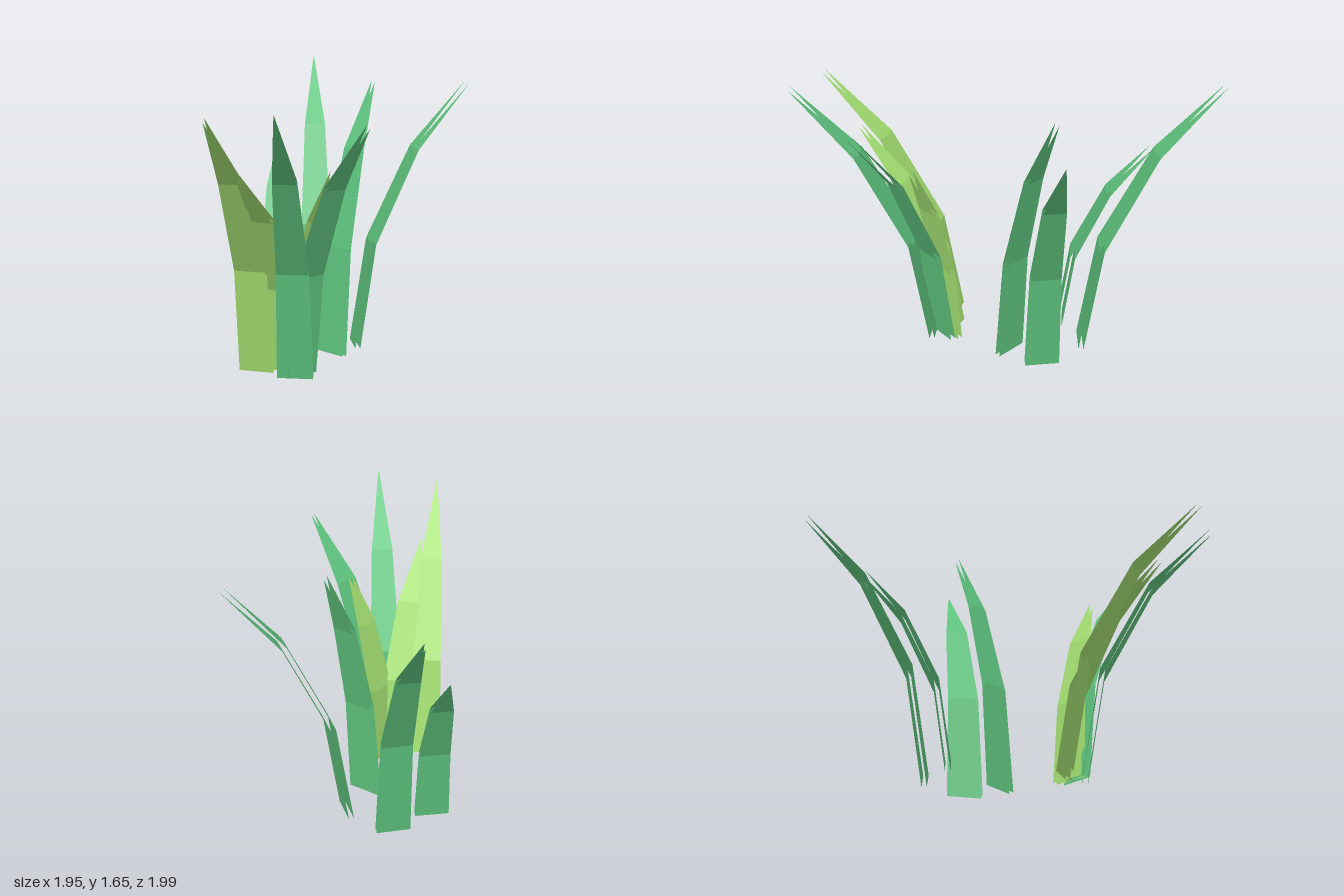
import * as THREE from 'three';

const green = new THREE.MeshStandardMaterial({ color: 0x5fc47e, flatShading: true, side: THREE.DoubleSide });
green.name = 'leaf green';
const lime = new THREE.MeshStandardMaterial({ color: 0xa3de71, flatShading: true, side: THREE.DoubleSide });
lime.name = 'yellow green';

const HALF_WIDTH = 0.1;
const GAP = 0.03; // distance between the inner and outer skin
// shared bend: [share of reach, share of height, share of width]
const PROFILE = [[0, 0, 1], [0.14, 0.4, 0.88], [0.525, 0.755, 0.63], [1, 1, 0]];

// One skin of a blade: two bent quads and a pointed tip
function skin(base, tip, offset) {
  const dx = tip[0] - base[0], dz = tip[2] - base[1];
  const reach = Math.hypot(dx, dz);
  const d = [dx / reach, dz / reach];
  const spine = PROFILE.map(([r, h]) => new THREE.Vector2(r * reach, 0.005 + h * (tip[1] - 0.005)));
  const rows = PROFILE.map(([, , w], i) => {
    // offset along the averaged outward normal of the bend
    const n = new THREE.Vector2();
    for (const k of [i - 1, i]) {
      if (k < 0 || k > 2) continue;
      const s = spine[k + 1].clone().sub(spine[k]).normalize();
      n.add(new THREE.Vector2(s.y, -s.x));
    }
    const p = spine[i].clone().addScaledVector(n.normalize(), offset);
    return [-1, 1].map(side => {
      const e = side * w * HALF_WIDTH;
      return [base[0] + d[0] * p.x - d[1] * e, Math.max(0, p.y), base[1] + d[1] * p.x + d[0] * e];
    });
  });
  const pos = [];
  const tri = (a, b, c) => (offset ? pos.push(...a, ...b, ...c) : pos.push(...a, ...c, ...b));
  for (let i = 0; i < 3; i++) {
    const [a, b] = rows[i], [c, e] = rows[i + 1];
    tri(a, c, b);
    if (i < 2) tri(b, c, e);
  }
  const g = new THREE.BufferGeometry();
  g.setAttribute('position', new THREE.Float32BufferAttribute(pos, 3));
  g.computeVertexNormals();
  return g;
}

export function createModel() {
  const model = new THREE.Group();
  model.name = 'grassTuft';

  // name, material, base centre [x, z], tip [x, y, z]
  const blades = [
    ['backTallBlade', green, [0.275, -0.315], [0.65, 1.65, -0.975]],
    ['backShortBlade', green, [0, -0.345], [0.28, 1.185, -0.775]],
    ['leftOuterBlade', green, [0.35, -0.015], [0.955, 1.575, 0.24]],
    ['leftInnerBlade', green, [0.13, 0.085], [0.465, 1.575, -0.01]],
    ['rightOuterBlade', lime, [-0.374, 0.135], [-0.955, 1.52, 0.675]],
    ['rightInnerBlade', lime, [-0.216, 0.239], [-0.725, 1.225, 0.56]],
    ['frontOuterBlade', green, [-0.256, 0.35], [-0.735, 1.55, 0.975]],
    ['frontInnerBlade', green, [-0.215, 0.315], [-0.145, 1.455, 0.88]],
    ['frontShortBlade', lime, [-0.2, 0.285], [-0.145, 1.17, 0.53]],
  ];
  for (const [name, material, base, tip] of blades) {
    const blade = new THREE.Group();
    blade.name = name;
    for (const [part, offset] of [['innerSkin', 0], ['outerSkin', GAP]]) {
      const mesh = new THREE.Mesh(skin(base, tip, offset), material);
      mesh.name = part;
      blade.add(mesh);
    }
    model.add(blade);
  }
  return model;
}
